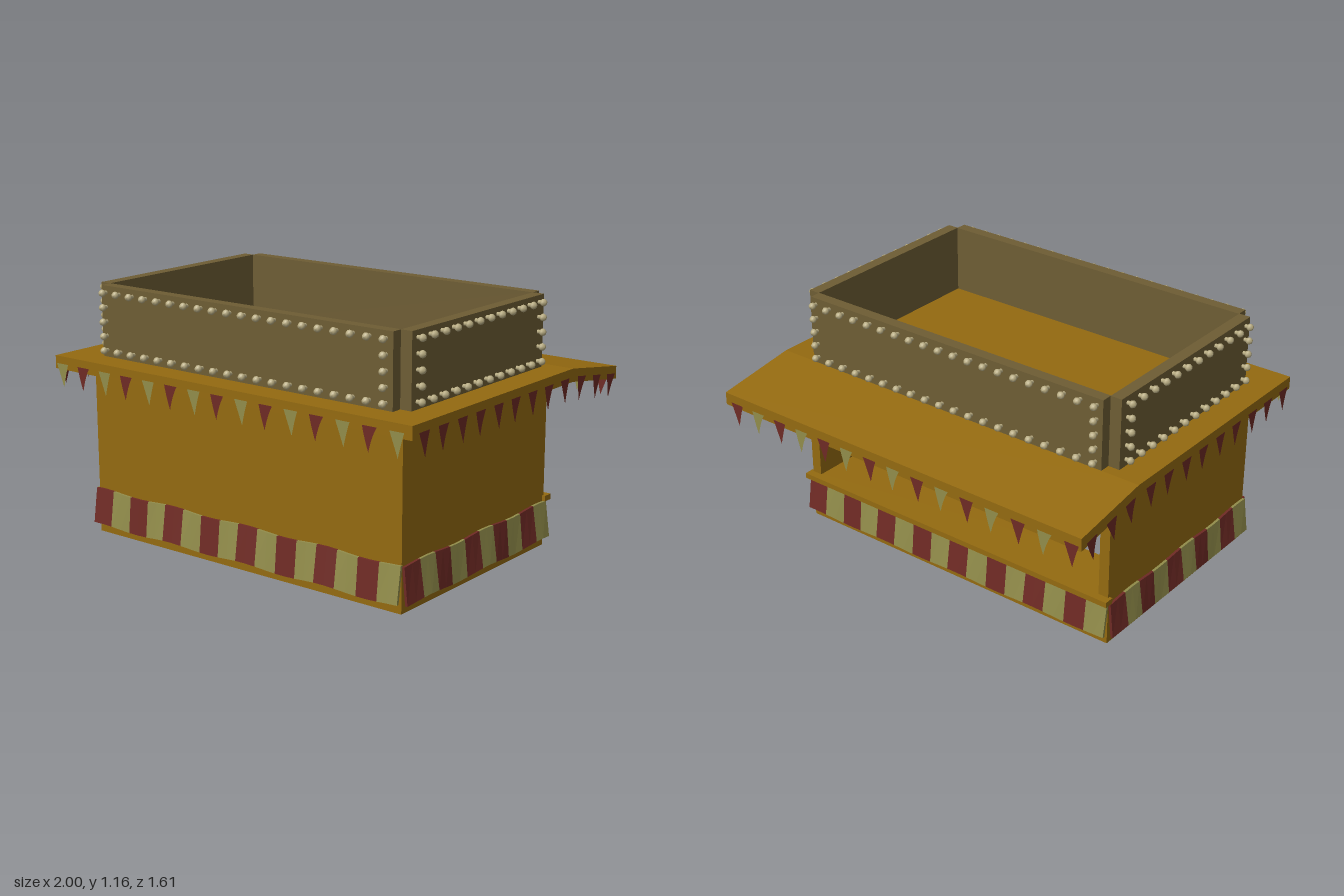
import * as THREE from 'three';
import { mergeGeometries } from 'three/addons/utils/BufferGeometryUtils.js';

const mat = (color, extra = {}) => new THREE.MeshStandardMaterial({ color, ...extra });
const wood = mat(0x946a10, { flatShading: true });
const panelMat = mat(0x6e5d34, { flatShading: true });
const bulbMat = mat(0xb8ac82);
const RED = 0x6e2a24, CREAM = 0x918c4a;
const cloth = [RED, CREAM].map(c => mat(c, { flatShading: true, side: THREE.DoubleSide }));

const BACK = -0.41, FRONT = 0.68, MID = (BACK + FRONT) / 2, HALF = 0.86;
const SLOPE = 0.154;

function add(parent, name, geometry, material) {
  const mesh = new THREE.Mesh(geometry, material);
  mesh.name = name;
  parent.add(mesh);
  return mesh;
}

// Box given by its lower and upper corners
function block(parent, name, a, b, material) {
  const size = b.map((v, i) => v - a[i]);
  const mesh = add(parent, name, new THREE.BoxGeometry(...size), material);
  mesh.position.set(...a.map((v, i) => v + size[i] / 2));
  return mesh;
}

// Frame whose local +z looks out of one side of the stall
function sideFrame(parent, name, angle, x, z) {
  const g = new THREE.Group();
  g.name = name;
  g.position.set(x, 0, z);
  g.rotation.y = angle;
  parent.add(g);
  return g;
}

// Striped cloth around the base: flared outward and gently waved
function skirt(parent, width, count) {
  const w = width / count;
  const parts = [[], []];
  for (let i = 0; i < count; i++) {
    const g = new THREE.BoxGeometry(w, 0.164, 0.012, 2, 1, 1);
    g.translate(-width / 2 + (i + 0.5) * w, 0, 0);
    const p = g.attributes.position;
    for (let k = 0; k < p.count; k++) {
      const x = p.getX(k), low = p.getY(k) < 0;
      const wave = Math.sin(x * 14.6 + 1);
      p.setY(k, (low ? 0.045 : 0.208) + wave * (low ? 0.007 : 0.005));
      p.setZ(k, p.getZ(k) + (low ? 0.028 + wave * 0.005 : 0.008));
    }
    parts[i % 2].push(g);
  }
  parts.forEach((list, i) => add(parent, i ? 'creamSkirtStripes' : 'redSkirtStripes', mergeGeometries(list), cloth[i]));
}

// Pennant with curved edges and a tip leaning to one side
function flagGeometry(lean) {
  const s = new THREE.Shape();
  s.moveTo(-0.036, 0);
  s.lineTo(0.036, 0);
  s.quadraticCurveTo(0.014 + lean, -0.045, lean, -0.108);
  s.quadraticCurveTo(-0.02 + lean, -0.055, -0.036, 0);
  return new THREE.ShapeGeometry(s, 6);
}
const flagShapes = [flagGeometry(0.006), flagGeometry(-0.004)];

function flag(parent, i, x, y, z, colour, angle, tilt = 0) {
  const f = add(parent, 'flag', flagShapes[i % 2], cloth[colour]);
  f.position.set(x, y, z);
  f.rotation.set(0, angle, tilt, 'YXZ');
}

// Light bulb pointing along +z
const bulb = new THREE.LatheGeometry(
  [[0.009, 0], [0.009, 0.011], [0.015, 0.018], [0.017, 0.026], [0.012, 0.036], [0, 0.04]]
    .map(p => new THREE.Vector2(...p)), 10).rotateX(Math.PI / 2);

// Bulbs around the border of a sign panel
function bulbs(parent, halfWidth, cols) {
  const list = [], rows = 5;
  for (let i = 0; i < cols; i++) {
    for (let j = 0; j < rows; j++) {
      if (i > 0 && i < cols - 1 && j > 0 && j < rows - 1) continue;
      const x = -halfWidth + (2 * halfWidth * i) / (cols - 1);
      list.push(bulb.clone().translate(x, 0.873 + j * 0.0655, 0));
    }
  }
  add(parent, 'signBulbs', mergeGeometries(list), bulbMat);
}

export function createModel() {
  const model = new THREE.Group();
  model.name = 'stall';

  // Hollow base with a wide counter ring, open underneath
  const ring = new THREE.Shape();
  ring.moveTo(-HALF, -FRONT).lineTo(HALF, -FRONT).lineTo(HALF, -BACK).lineTo(-HALF, -BACK).closePath();
  const hole = new THREE.Path();
  hole.moveTo(-0.64, -0.45).lineTo(-0.64, 0.16).lineTo(0.64, 0.16).lineTo(0.64, -0.45).closePath();
  ring.holes.push(hole);
  add(model, 'baseRing', new THREE.ExtrudeGeometry(ring, { depth: 0.235, bevelEnabled: false }).rotateX(-Math.PI / 2), wood);
  block(model, 'counterLedge', [-0.875, 0.21, -0.447], [0.875, 0.236, BACK + 0.01], wood);

  // Walls; the back stays open as the serving hatch
  block(model, 'frontWall', [-HALF, 0.235, FRONT - 0.05], [HALF, 0.785, FRONT], wood);
  for (const s of [-1, 1]) {
    const x = s * (HALF - 0.025);
    block(model, 'sideWall', [x - 0.025, 0.235, BACK], [x + 0.025, 0.785, FRONT - 0.05], wood);
  }

  // Roof slab, sloping down over the hatch
  const roof = new THREE.Shape();
  roof.moveTo(0.8, 0.78).lineTo(0.8, 0.84).lineTo(BACK, 0.84).lineTo(-0.8, 0.78)
    .lineTo(-0.8, 0.72).lineTo(BACK, 0.78).closePath();
  const roofGeo = new THREE.ExtrudeGeometry(roof, { depth: 1.98, bevelEnabled: false });
  add(model, 'roof', roofGeo.rotateY(-Math.PI / 2).translate(0.99, 0, 0), wood);

  // Sign panels, with notched corners
  for (const z of [-0.41, 0.622]) {
    block(model, 'longSignPanel', [-0.805, 0.835, z], [0.805, 1.165, z + 0.053], panelMat);
  }
  for (const x of [-HALF, 0.805]) {
    block(model, 'shortSignPanel', [x, 0.835, -0.36], [x + 0.055, 1.165, 0.625], panelMat);
  }

  // Bulbs and skirts on all four sides
  const q = Math.PI / 2;
  const sides = [
    ['front', 0, 0, FRONT, true], ['back', 2 * q, 0, BACK, true],
    ['left', q, HALF, MID, false], ['right', -q, -HALF, MID, false],
  ];
  for (const [name, angle, x, z, long] of sides) {
    const frame = sideFrame(model, name + 'Trim', angle, x, z);
    skirt(frame, long ? 1.73 : 1.09, long ? 16 : 10);
    bulbs(frame, long ? 0.775 : 0.453, long ? 20 : 12);
  }

  // Bunting along the roof edges
  const bunting = new THREE.Group();
  bunting.name = 'bunting';
  model.add(bunting);
  for (let i = 0; i < 15; i++) {
    const x = -0.944 + i * 0.133;
    flag(bunting, i, x, 0.806, 0.803, (i + 1) % 2, 0);
    flag(bunting, i, x, 0.742, -0.803, i % 2, Math.PI);
  }
  for (const s of [-1, 1]) {
    for (let i = 0; i < 12; i++) {
      const sloped = i > 8;
      const z = sloped ? -0.475 - (i - 9) * 0.132 : 0.73 - i * 0.1325;
      const y = 0.806 - (sloped ? (BACK - z) * SLOPE : 0);
      flag(bunting, i, s * 0.998, y, z, 0, s * q, sloped ? -s * SLOPE : 0);
    }
  }

  // Small lamps under the ceiling
  for (const z of [0.04, 0.22]) {
    for (const x of [-0.45, 0, 0.45]) {
      const lamp = new THREE.Group();
      lamp.name = 'ceilingLamp';
      lamp.position.set(x, 0.755, z);
      add(lamp, 'lampShade', new THREE.ConeGeometry(0.013, 0.05, 10), bulbMat);
      add(lamp, 'lampBulb', new THREE.SphereGeometry(0.011, 10, 8), bulbMat).position.y = -0.025;
      model.add(lamp);
    }
  }
  return model;
}
